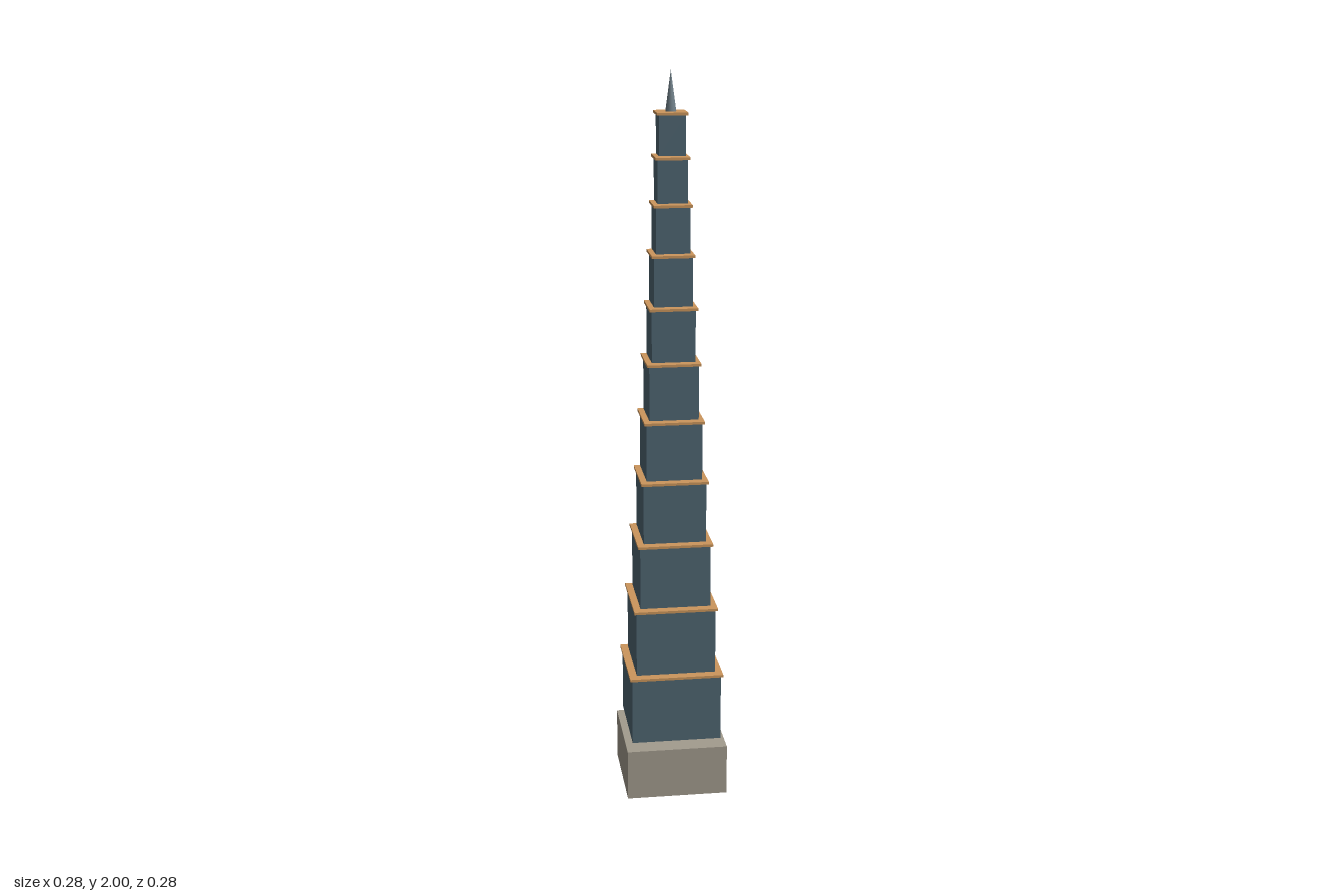
import * as THREE from 'three';

const stone = new THREE.MeshStandardMaterial({ name: 'stone', color: 0xa39c8e });
const glass = new THREE.MeshStandardMaterial({ name: 'blueGlass', color: 0x4f6672 });
const copper = new THREE.MeshStandardMaterial({ name: 'copper', color: 0xcc965c });
const steel = new THREE.MeshStandardMaterial({ name: 'steel', color: 0x6f7f88 });

const TIERS = 11;
const LEDGE = 0.007; // ledge thickness
const GAP = 0.003; // shadow joint above each ledge
const OVERHANG = 0.006;

export function createModel() {
  const tower = new THREE.Group();
  tower.name = 'tower';

  // Square block centred on the axis, from y0 to y1
  function block(name, half, y0, y1, material) {
    const mesh = new THREE.Mesh(new THREE.BoxGeometry(half * 2, y1 - y0, half * 2), material);
    mesh.position.y = (y0 + y1) / 2;
    mesh.name = name;
    tower.add(mesh);
  }

  block('base', 0.14, 0, 0.142, stone);

  // Stepped tiers, each shorter and narrower, capped by a thin ledge
  let bottom = 0.162;
  let top = 0.355;
  let pitch = 0.193;
  for (let i = 0; i < TIERS; i++) {
    const half = 0.13 * Math.pow(0.891, i);
    block(`tier${i + 1}`, half - OVERHANG, bottom, top - LEDGE, glass);
    block(`ledge${i + 1}`, half, top - LEDGE, top, copper);
    bottom = top + GAP;
    if (i < TIERS - 1) top += pitch;
    pitch -= 0.0087;
  }

  // Pointed spire on the top ledge
  const spire = new THREE.Mesh(new THREE.ConeGeometry(0.0145, 2 - top, 12), steel);
  spire.position.y = (2 + top) / 2;
  spire.name = 'spire';
  tower.add(spire);

  return tower;
}
